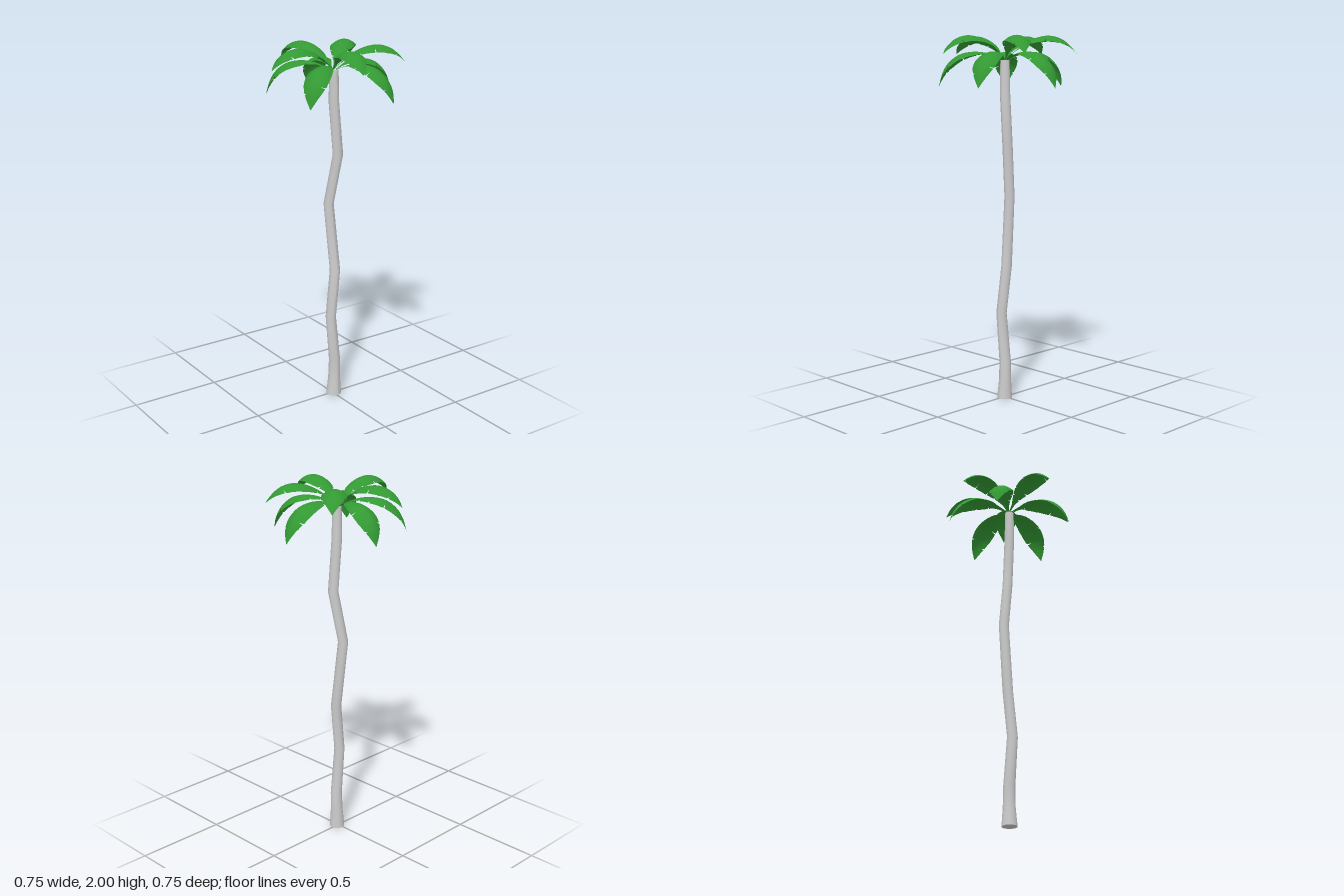
import * as THREE from 'three';

// Trunk rings: x, y, z of the centre, then radius
const RINGS = [
  [0.005, 0, 0.005, 0.042], [0.008, 0.1, 0.005, 0.034], [0.01, 0.21, 0.006, 0.032],
  [-0.017, 0.48, 0.008, 0.029], [0.016, 0.75, 0.001, 0.029], [0, 1.13, -0.037, 0.028],
  [0.03, 1.41, 0.008, 0.028], [0.006, 1.7, 0.004, 0.028], [0.006, 1.87, 0.004, 0.025],
];

// Midrib profiles (distance from the trunk axis, height)
const UPPER = [[0, 1.87], [0.05, 1.915], [0.1, 1.955], [0.17, 1.988], [0.24, 1.997], [0.3, 1.98], [0.345, 1.945], [0.383, 1.9]];
const LOWER = [[0, 1.86], [0.06, 1.89], [0.12, 1.91], [0.2, 1.911], [0.26, 1.893], [0.31, 1.853], [0.34, 1.805], [0.364, 1.725]];

// Half width along the frond (position 0..1, half width)
const WIDTH = [[0, 0.002], [0.12, 0.009], [0.2, 0.024], [0.28, 0.04], [0.38, 0.056], [0.5, 0.065],
  [0.62, 0.066], [0.72, 0.061], [0.81, 0.048], [0.9, 0.027], [1, 0]];

// Tears in the edge: position, side, remaining share of the width
const TEARS = [[0.2, -1, 0.5], [0.25, 1, 0.6], [0.31, -1, 0.68], [0.36, 1, 0.78], [0.55, 1, 0.66], [0.74, -1, 0.62], [0.83, 1, 0.75]];
const TEAR = 0.009;

function halfWidth(t) {
  let i = 1;
  while (i < WIDTH.length - 1 && t > WIDTH[i][0]) i++;
  const [t0, w0] = WIDTH[i - 1], [t1, w1] = WIDTH[i];
  return w0 + (w1 - w0) * (t - t0) / (t1 - t0);
}

// Arched blade that sags towards both edges, running along +x
function frondGeometry(profile) {
  const rib = new THREE.CatmullRomCurve3(profile.map(([x, y]) => new THREE.Vector3(x, y, 0)));
  const stations = Array.from({ length: 33 }, (_, i) => i / 32)
    .filter((t) => TEARS.every(([c]) => Math.abs(t - c) > TEAR));
  for (const [c] of TEARS) stations.push(c - TEAR, c, c + TEAR);
  stations.sort((a, b) => a - b);

  const COLS = 10, positions = [], index = [];
  stations.forEach((t, i) => {
    const p = rib.getPointAt(t), tan = rib.getTangentAt(t), w = halfWidth(t);
    for (let j = 0; j <= COLS; j++) {
      const v = j / COLS * 2 - 1;
      const tear = TEARS.find(([c, side]) => c === t && side === Math.sign(v));
      const s = Math.sign(v) * Math.min(Math.abs(v), tear ? tear[2] : 1) * w;
      const sag = 0.03 * (s / 0.065) ** 2;
      positions.push(p.x + tan.y * sag, p.y - tan.x * sag, s);
      if (i < stations.length - 1 && j < COLS) {
        const a = i * (COLS + 1) + j, c = a + COLS + 1;
        index.push(a, a + 1, c, a + 1, c + 1, c);
      }
    }
  });
  const geometry = new THREE.BufferGeometry();
  geometry.setAttribute('position', new THREE.Float32BufferAttribute(positions, 3));
  geometry.setIndex(index);
  geometry.computeVertexNormals();
  return geometry;
}

// Bent, tapering trunk: each ring of a cylinder is moved to its place
function trunkGeometry() {
  const n = RINGS.length - 1;
  const geometry = new THREE.CylinderGeometry(1, 1, n, 14, n);
  const pos = geometry.attributes.position;
  for (let i = 0; i < pos.count; i++) {
    const [x, y, z, r] = RINGS[Math.round(pos.getY(i) + n / 2)];
    pos.setXYZ(i, x + pos.getX(i) * r, y, z + pos.getZ(i) * r);
  }
  geometry.computeVertexNormals();
  return geometry;
}

export function createModel() {
  const model = new THREE.Group();
  model.name = 'palmTree';

  const trunk = new THREE.Mesh(trunkGeometry(), new THREE.MeshStandardMaterial({ color: 0xcccccc }));
  trunk.name = 'trunk';
  model.add(trunk);

  // Two tiers of five fronds, turned by degrees from +x towards +z
  const green = new THREE.MeshStandardMaterial({ color: 0x339933, side: THREE.DoubleSide });
  const tiers = [
    ['upperFrond', UPPER, [30, 102, 179, 257, 319]],
    ['lowerFrond', LOWER, [0, 67, 143, 225, 283]],
  ];
  for (const [name, profile, angles] of tiers) {
    const geometry = frondGeometry(profile);
    for (const angle of angles) {
      const frond = new THREE.Mesh(geometry, green);
      frond.name = name;
      frond.position.set(0.005, 0, 0);
      frond.rotation.y = -THREE.MathUtils.degToRad(angle);
      model.add(frond);
    }
  }
  return model;
}
